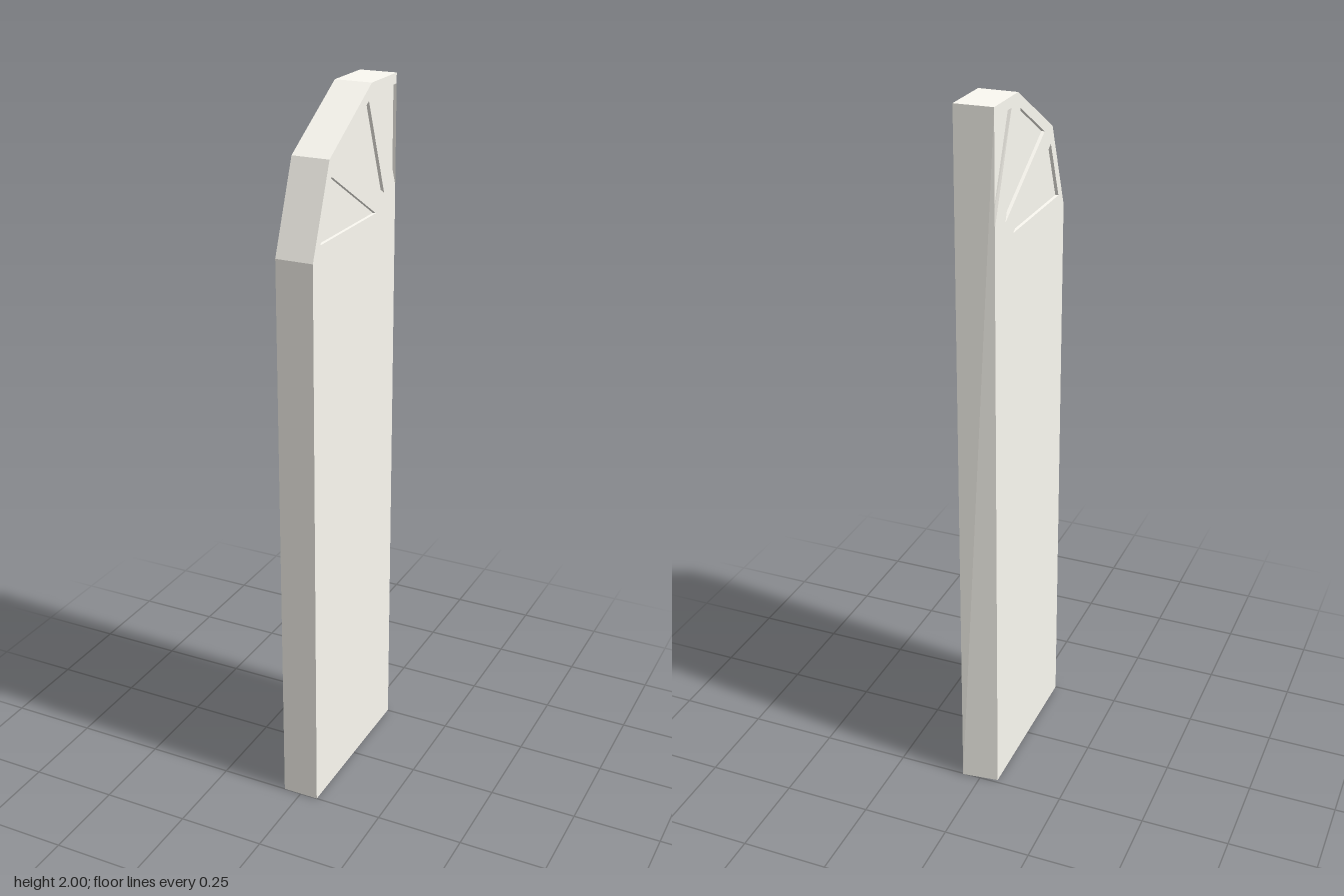
import * as THREE from 'three';
import { mergeGeometries } from 'three/addons/utils/BufferGeometryUtils.js';

const HALF = 0.0525;   // half thickness of the slab
const FLOOR = 0.0435;  // x of the recessed panels
const BACK = 0.24;

// Profiles are [u, y] with u = -z, counter-clockwise seen from +x
const lower = [[-0.25, 0], [BACK, 0]];
const upper = [[BACK, 2], [0.088, 2], [-0.156, 1.855], [-0.25, 1.615]];
const rearPane = [[BACK, 1.7], [BACK, 1.972], [0.13, 1.972]];
const innerPanes = [
  [[-0.208, 1.652], [0.12, 1.652], [-0.145, 1.81]],
  [[-0.098, 1.855], [0.172, 1.695], [0.071, 1.957]],
];
const rim = [...lower, ...upper];
// The rear pane reaches the back edge, so it notches the face outline
const face = [...lower, rearPane[0], rearPane[2], rearPane[1], ...upper];

const vectors = (pts) => pts.map(([u, y]) => new THREE.Vector2(u, y));

// Flat surface at the given x, facing outwards on its side
function cap(pts, x, holes = []) {
  const shape = new THREE.Shape(vectors(pts));
  shape.holes = holes.map((h) => new THREE.Path(vectors(h)));
  const geo = new THREE.ShapeGeometry(shape);
  if (x < 0) geo.setIndex([...geo.index.array].reverse());
  geo.rotateY(Math.PI / 2).translate(x, 0, 0);
  const flat = geo.toNonIndexed();
  flat.deleteAttribute('uv');
  return flat;
}

// Closed band of quads along an outline, from x0 to x1
function band(pts, x0, x1) {
  const pos = [];
  pts.forEach(([u, y], i) => {
    const [v, w] = pts[(i + 1) % pts.length];
    pos.push(x0, y, -u, x0, w, -v, x1, y, -u, x0, w, -v, x1, w, -v, x1, y, -u);
  });
  const geo = new THREE.BufferGeometry();
  geo.setAttribute('position', new THREE.Float32BufferAttribute(pos, 3));
  geo.computeVertexNormals();
  return geo;
}

// The back leans out slightly towards the lower +x corner, folded along a diagonal
function skewBack(geo) {
  const p = geo.attributes.position;
  for (let i = 0; i < p.count; i++) {
    if (p.getZ(i) > -BACK + 0.001) continue;
    const t = (p.getX(i) + HALF) / (2 * HALF);
    const lean = Math.min(0.013 * t, 0.003 * t + 0.01 * (1 - p.getY(i) / 2));
    p.setZ(i, -BACK - lean);
  }
  geo.computeVertexNormals();
  return geo;
}

export function createModel() {
  const group = new THREE.Group();
  const material = new THREE.MeshStandardMaterial({ color: 0xfcfaf2, flatShading: true });
  const add = (name, parts) => {
    const mesh = new THREE.Mesh(skewBack(mergeGeometries(parts)), material);
    mesh.name = name;
    group.add(mesh);
  };

  // Slab: both faces and the rim around them
  add('slab', [
    cap(face, HALF, innerPanes),
    cap(face, -HALF, innerPanes),
    band(rim, -HALF, HALF),
  ]);

  // Shallow fan panes recessed into both faces
  for (const [side, name] of [[1, 'left'], [-1, 'right']]) {
    const x = side * FLOOR;
    const [x0, x1] = side > 0 ? [FLOOR, HALF] : [-HALF, -FLOOR];
    add(name + 'Panes', [...innerPanes, rearPane].flatMap((p) => [
      cap(p, x),
      band([...p].reverse(), x0, x1),
    ]));
  }
  return group;
}
